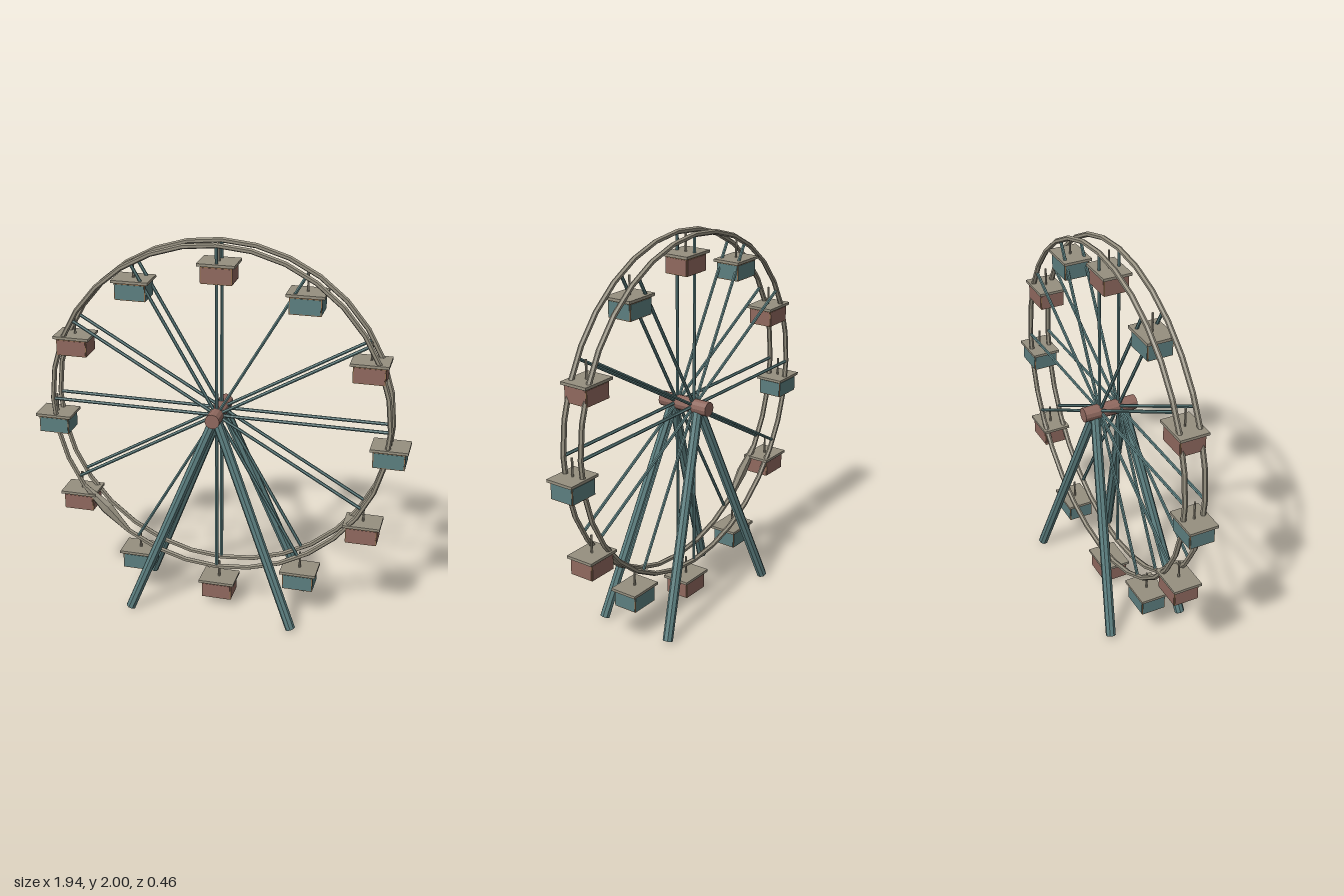
import * as THREE from 'three';

const CENTER_Y = 1.11, RADIUS = 0.875, RIM_Z = 0.052, COUNT = 12;

const material = (name, color) => {
  const m = new THREE.MeshStandardMaterial({ color, flatShading: true });
  m.name = name;
  return m;
};

function addMesh(parent, name, geometry, mat, x = 0, y = 0, z = 0) {
  const mesh = new THREE.Mesh(geometry, mat);
  mesh.name = name;
  mesh.position.set(x, y, z);
  parent.add(mesh);
  return mesh;
}

// Straight round bar between two points
function addBar(parent, name, a, b, radius, sides, mat) {
  const dir = b.clone().sub(a);
  const mesh = addMesh(parent, name, new THREE.CylinderGeometry(radius, radius, dir.length(), sides), mat);
  mesh.position.copy(a).add(b).multiplyScalar(0.5);
  mesh.quaternion.setFromUnitVectors(new THREE.Vector3(0, 1, 0), dir.normalize());
  return mesh;
}

// Faceted ring; one cross-section may be bent out into a dent
function rimGeometry(dented) {
  const segments = 32, sides = 6, tube = 0.0135, dentAt = 20;
  const positions = [], indices = [];
  for (let i = 0; i < segments; i++) {
    const a = (i / segments) * Math.PI * 2;
    const dent = dented && i === dentAt;
    const center = dent ? 0.857 : RADIUS;
    const rRadial = dent ? 0.038 : tube, rDepth = dent ? 0.024 : tube;
    for (let j = 0; j < sides; j++) {
      const t = (j / sides) * Math.PI * 2;
      const r = center + Math.cos(t) * rRadial;
      positions.push(Math.cos(a) * r, Math.sin(a) * r, Math.sin(t) * rDepth);
      const i2 = (i + 1) % segments, j2 = (j + 1) % sides;
      const p = i * sides + j, q = i2 * sides + j, s = i2 * sides + j2, u = i * sides + j2;
      indices.push(p, q, s, p, s, u);
    }
  }
  const g = new THREE.BufferGeometry();
  g.setAttribute('position', new THREE.Float32BufferAttribute(positions, 3));
  g.setIndex(indices);
  g.computeVertexNormals();
  return g;
}

// Hanging cabin, with its pivot at the origin
function createCabin(bodyMat, mats) {
  const cabin = new THREE.Group();
  cabin.name = 'cabin';
  const w = 0.162, h = 0.088, d = 0.134, y = -0.148, e = 0.012, inset = 0.004;
  addMesh(cabin, 'cabinTrim', new THREE.BoxGeometry(w - inset, h - inset, d - inset), mats.trim, 0, y);
  // Panels stop short of the corners so the trim shows along the edges
  addMesh(cabin, 'cabinSidePanels', new THREE.BoxGeometry(w, h - e, d - e), bodyMat, 0, y);
  addMesh(cabin, 'cabinFrontBackPanels', new THREE.BoxGeometry(w - e, h - e, d), bodyMat, 0, y);
  addMesh(cabin, 'cabinFloorPanel', new THREE.BoxGeometry(w - e, h, d - e), bodyMat, 0, y);
  addMesh(cabin, 'cabinRoof', new THREE.BoxGeometry(0.19, 0.014, 0.15), mats.frame, 0, -0.096);
  addMesh(cabin, 'cabinHanger', new THREE.CylinderGeometry(0.006, 0.006, 0.1, 6), mats.frame, 0, -0.046);
  return cabin;
}

export function createModel() {
  const model = new THREE.Group();
  model.name = 'ferrisWheel';
  const mats = {
    teal: material('teal paint', 0x5c7f80),
    rose: material('rose paint', 0x90695f),
    frame: material('warm grey', 0x969080),
    trim: material('brown trim', 0x92704e),
  };

  // Turning wheel: two rims and their spokes
  const wheel = new THREE.Group();
  wheel.name = 'wheel';
  wheel.position.y = CENTER_Y;
  model.add(wheel);
  for (const side of [1, -1]) {
    addMesh(wheel, side > 0 ? 'frontRim' : 'backRim', rimGeometry(side > 0), mats.frame, 0, 0, side * RIM_Z);
    for (let i = 0; i < COUNT; i++) {
      const a = (i / COUNT) * Math.PI * 2;
      addBar(wheel, 'spoke', new THREE.Vector3(0, 0, side * RIM_Z),
        new THREE.Vector3(Math.cos(a) * RADIUS, Math.sin(a) * RADIUS, side * RIM_Z), 0.0085, 6, mats.teal);
    }
  }

  // Axle hub
  const hub = addMesh(wheel, 'hub', new THREE.CylinderGeometry(0.038, 0.038, 0.288, 12), mats.rose);
  hub.rotation.x = Math.PI / 2;

  // Cabins in alternating colours, always hanging upright
  for (let i = 0; i < COUNT; i++) {
    const a = (i / COUNT) * Math.PI * 2;
    const cabin = createCabin(i % 2 ? mats.rose : mats.teal, mats);
    cabin.position.set(Math.cos(a) * RADIUS, CENTER_Y + Math.sin(a) * RADIUS, 0);
    model.add(cabin);
  }

  // Four splayed support legs
  for (const sx of [1, -1]) {
    for (const sz of [1, -1]) {
      addBar(model, 'supportLeg', new THREE.Vector3(0, CENTER_Y, sz * 0.078),
        new THREE.Vector3(sx * 0.435, 0.011, sz * 0.205), 0.026, 8, mats.teal);
    }
  }
  return model;
}
